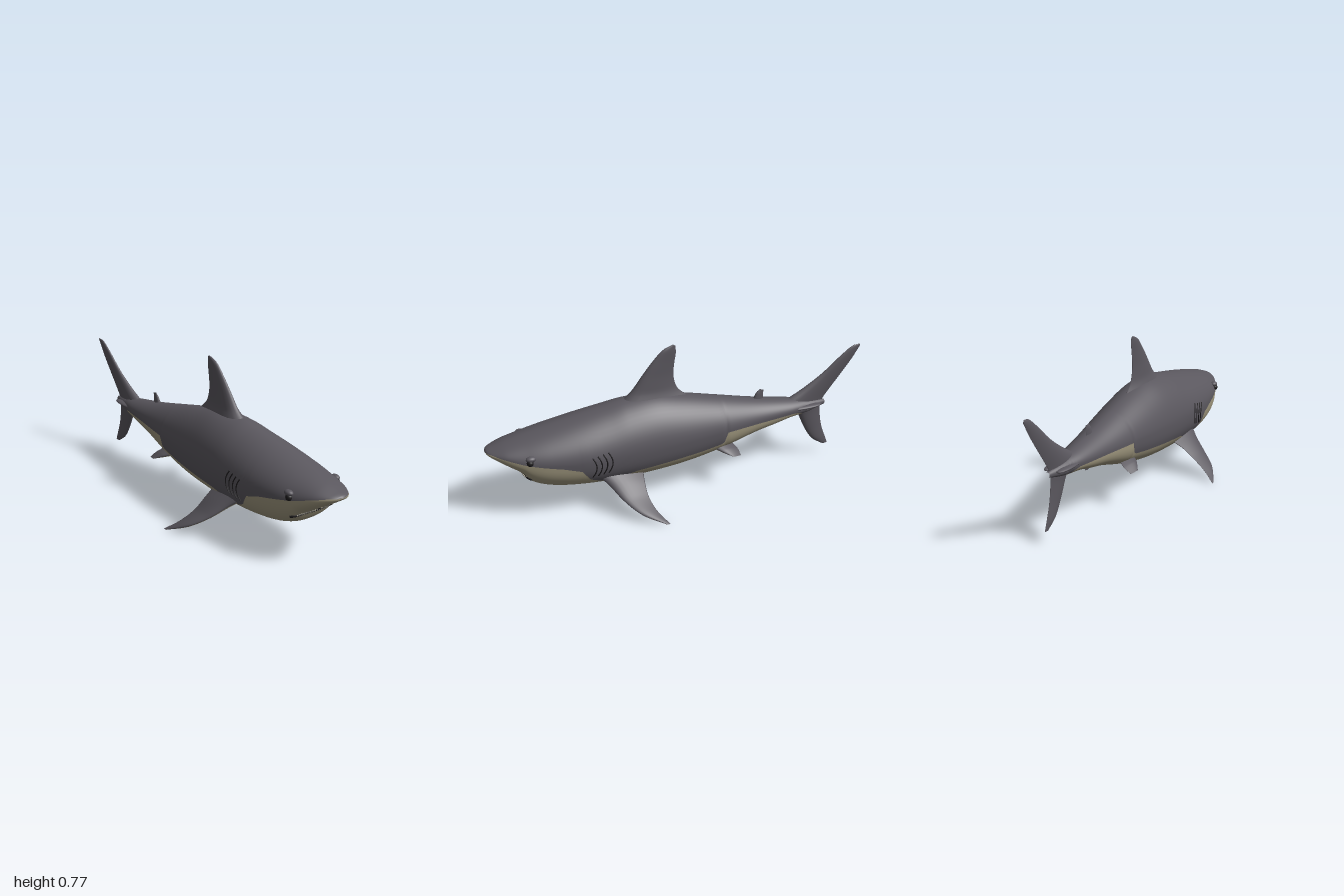
import * as THREE from 'three';

const mat = (name, color) => Object.assign(new THREE.MeshStandardMaterial({ color }), { name });
const V = (x, y, z) => new THREE.Vector3(x, y, z);

// Smooth curve through [x, value] pairs (x ascending)
function smooth(pts) {
  const slope = i => {
    const a = pts[Math.max(i - 1, 0)], b = pts[Math.min(i + 1, pts.length - 1)];
    return (b[1] - a[1]) / (b[0] - a[0]);
  };
  return x => {
    let i = 0;
    while (i < pts.length - 2 && x > pts[i + 1][0]) i++;
    const [x0, y0] = pts[i], [x1, y1] = pts[i + 1], h = x1 - x0;
    const t = THREE.MathUtils.clamp((x - x0) / h, 0, 1), t2 = t * t, t3 = t2 * t;
    return y0 * (2 * t3 - 3 * t2 + 1) + slope(i) * h * (t3 - 2 * t2 + t)
      + y1 * (3 * t2 - 2 * t3) + slope(i + 1) * h * (t3 - t2);
  };
}
function linear(pts) {
  return x => {
    let i = 0;
    while (i < pts.length - 2 && x > pts[i + 1][0]) i++;
    const [x0, y0] = pts[i], [x1, y1] = pts[i + 1];
    return THREE.MathUtils.lerp(y0, y1, THREE.MathUtils.clamp((x - x0) / (x1 - x0), 0, 1));
  };
}

// Body profile along its length
const topY = smooth([[-0.81, 0.335], [-0.7, 0.358], [-0.6, 0.375], [-0.4, 0.41], [-0.2, 0.455], [0, 0.5], [0.15, 0.525],
  [0.3, 0.52], [0.4, 0.503], [0.6, 0.465], [0.8, 0.422], [0.9, 0.397], [0.96, 0.378], [0.99, 0.367], [1, 0.358]]);
const bottomY = smooth([[-0.81, 0.31], [-0.7, 0.285], [-0.6, 0.277], [-0.5, 0.255], [-0.4, 0.235], [-0.2, 0.18], [0, 0.142],
  [0.2, 0.125], [0.4, 0.12], [0.6, 0.132], [0.7, 0.148], [0.77, 0.172], [0.81, 0.2], [0.835, 0.24], [0.88, 0.272],
  [0.95, 0.318], [0.99, 0.345], [1, 0.356]]);
const width = smooth([[-0.81, 0.01], [-0.75, 0.03], [-0.68, 0.048], [-0.6, 0.067], [-0.4, 0.1], [-0.2, 0.135], [0, 0.163],
  [0.2, 0.181], [0.4, 0.19], [0.55, 0.19], [0.7, 0.175], [0.8, 0.152], [0.9, 0.111], [0.96, 0.07], [0.99, 0.036], [1, 0.002]]);
const midY = smooth([[-0.81, 0.322], [-0.6, 0.325], [0, 0.305], [0.5, 0.295], [0.8, 0.312], [0.92, 0.342], [1, 0.357]]);
const bellyLine = linear([[-0.72, 0.27], [-0.66, 0.3], [-0.62, 0.312], [-0.21, 0.308], [-0.195, 0.245], [-0.1, 0.233],
  [0.1, 0.215], [0.28, 0.2], [0.38, 0.17], [0.46, 0.17], [0.52, 0.2], [0.56, 0.26], [0.65, 0.288], [0.82, 0.32],
  [0.9, 0.341], [0.97, 0.358], [1, 0.358]]);
const POW_TOP = 1.8, POW_LOW = 2.5;

// Half width of the body at a given length and height
function halfWidth(x, y) {
  const m = midY(x), up = y > m, p = up ? POW_TOP : POW_LOW;
  const f = up ? (y - m) / (topY(x) - m) : (m - y) / (m - bottomY(x));
  return f >= 1 ? 0 : width(x) * Math.pow(1 - Math.pow(f, p), 1 / p);
}

// One colour zone of the skin: above or below the belly line
function skin(isBack) {
  const rows = 150, cols = 36, pos = [], idx = [];
  for (let i = 0; i <= rows; i++) {
    const x = -0.81 + 1.81 * Math.sin(i / rows * Math.PI / 2);
    const m = midY(x), hi = topY(x) - m, lo = m - bottomY(x);
    const y = THREE.MathUtils.clamp(bellyLine(x), m - lo, m + hi), up = y > m;
    const f = Math.min(1, up ? (y - m) / hi : (m - y) / lo);
    const split = (up ? 1 : -1) * Math.asin(Math.pow(f, (up ? POW_TOP : POW_LOW) / 2));
    for (let j = 0; j <= cols; j++) {
      const u = 2 * j / cols - 1;
      const a = THREE.MathUtils.lerp((isBack ? 1 : -1) * Math.PI / 2, split, Math.abs(u));
      const e = 2 / (a > 0 ? POW_TOP : POW_LOW), s = Math.pow(Math.abs(Math.sin(a)), e);
      pos.push(x, m + (a > 0 ? hi * s : -lo * s),
        Math.sign(u) * width(x) * Math.pow(Math.max(0, Math.cos(a)), e));
      if (i < rows && j < cols) {
        const A = i * (cols + 1) + j, B = A + cols + 1;
        if (isBack) idx.push(A, A + 1, B, B, A + 1, B + 1);
        else idx.push(A, B, A + 1, B, B + 1, A + 1);
      }
    }
  }
  return toGeometry(pos, idx);
}

function toGeometry(pos, idx) {
  const g = new THREE.BufferGeometry();
  g.setAttribute('position', new THREE.Float32BufferAttribute(pos, 3));
  g.setIndex(idx);
  g.computeVertexNormals();
  return g;
}

// Fin lofted from root to tip; the +normal side is group 0, the other group 1
function fin(lead, trail, thick, normal) {
  const rows = 24, half = 10, ring = half * 2, pos = [], sides = [[], []];
  const L = new THREE.CatmullRomCurve3(lead), T = new THREE.CatmullRomCurve3(trail);
  const th = linear(thick.map((t, i) => [i / (thick.length - 1), t]));
  for (let i = 0; i <= rows; i++) {
    const l = L.getPoint(i / rows), t = T.getPoint(i / rows);
    for (let j = 0; j < ring; j++) {
      const s = (1 - Math.cos(j / half * Math.PI)) / 2;
      const d = th(i / rows) * 2.6 * Math.sqrt(s) * (1 - s) * (j <= half ? 1 : -1);
      pos.push(...l.clone().lerp(t, s).addScaledVector(normal, d).toArray());
      if (i < rows) {
        const A = i * ring + j, B = i * ring + (j + 1) % ring;
        sides[j < half ? 0 : 1].push(A, B, A + ring, B, B + ring, A + ring);
      }
    }
  }
  // Turn the faces outward whichever way the fin was laid out
  const idx = [...sides[0], ...sides[1]], p = i => V().fromArray(pos, i * 3);
  let volume = 0;
  const o = p(0);
  for (let k = 0; k < idx.length; k += 3)
    volume += p(idx[k]).sub(o).dot(p(idx[k + 1]).sub(o).cross(p(idx[k + 2]).sub(o)));
  if (volume < 0) for (let k = 0; k < idx.length; k += 3) [idx[k], idx[k + 1]] = [idx[k + 1], idx[k]];
  const g = toGeometry(pos, idx);
  g.addGroup(0, sides[0].length, 0);
  g.addGroup(sides[0].length, sides[1].length, 1);
  return g;
}

export function createModel() {
  const group = new THREE.Group();
  const grey = mat('darkGreySkin', 0x5a575e), pale = mat('paleBelly', 0xa0987f);
  const black = mat('nearBlack', 0x1d1b1d), ivory = mat('toothIvory', 0xc9c3b0);
  const add = (name, geo, material) => {
    const m = new THREE.Mesh(geo, material);
    m.name = name;
    group.add(m);
    return m;
  };
  const flat = pts => pts.map(([x, y]) => V(x, y, 0));

  add('back', skin(true), grey);
  add('belly', skin(false), pale);

  // Upright fins on the centre line: leading edge, trailing edge, half thickness
  const upright = (name, lead, trail, thick) =>
    add(name, fin(flat(lead), flat(trail), thick, V(0, 0, 1)), [grey, grey]);
  upright('dorsalFin', [[0.33, 0.49], [0.26, 0.55], [0.2, 0.63], [0.14, 0.705], [0.09, 0.755], [0.035, 0.778]],
    [[-0.05, 0.48], [0.015, 0.54], [0.035, 0.61], [0.03, 0.68], [0.022, 0.735], [0.025, 0.772]],
    [0.055, 0.032, 0.021, 0.014, 0.01, 0.003]);
  upright('upperTailLobe', [[-0.58, 0.36], [-0.68, 0.415], [-0.79, 0.49], [-0.9, 0.585], [-0.96, 0.627], [-0.997, 0.632]],
    [[-0.78, 0.29], [-0.8, 0.34], [-0.835, 0.39], [-0.9, 0.475], [-0.955, 0.55], [-1, 0.622]],
    [0.03, 0.022, 0.014, 0.01, 0.008, 0.002]);
  upright('lowerTailLobe', [[-0.63, 0.325], [-0.665, 0.265], [-0.71, 0.17], [-0.755, 0.105], [-0.82, 0.06]],
    [[-0.79, 0.33], [-0.79, 0.27], [-0.805, 0.18], [-0.83, 0.11], [-0.848, 0.063]],
    [0.026, 0.018, 0.012, 0.009, 0.002]);
  upright('secondDorsalFin', [[-0.4, 0.4], [-0.415, 0.435], [-0.435, 0.456]],
    [[-0.455, 0.395], [-0.455, 0.425], [-0.458, 0.45]], [0.012, 0.008, 0.002]);
  upright('analFin', [[-0.4, 0.25], [-0.425, 0.235], [-0.445, 0.226]],
    [[-0.46, 0.26], [-0.468, 0.245], [-0.468, 0.23]], [0.012, 0.008, 0.002]);

  // Mirrored parts
  for (const s of [1, -1]) {
    const side = s > 0 ? 'left' : 'right';
    const at = pts => pts.map(([x, y, z]) => V(x, y, z * s));
    add(side + 'PectoralFin', fin(
      at([[0.48, 0.2, 0.14], [0.43, 0.155, 0.19], [0.38, 0.1, 0.26], [0.31, 0.05, 0.335], [0.2, 0.006, 0.392]]),
      at([[0.24, 0.18, 0.13], [0.25, 0.145, 0.19], [0.25, 0.095, 0.255], [0.225, 0.045, 0.33], [0.18, 0.004, 0.392]]),
      [0.026, 0.02, 0.012, 0.009, 0.002], V(0, 0.8, 0.6 * s)), [grey, pale]);
    add(side + 'PelvicFin', fin(
      at([[-0.14, 0.215, 0.09], [-0.18, 0.2, 0.13], [-0.235, 0.178, 0.165]]),
      at([[-0.25, 0.22, 0.07], [-0.275, 0.195, 0.11], [-0.28, 0.172, 0.15]]),
      [0.018, 0.012, 0.002], V(0, 0.85, 0.53 * s)), [grey, pale]);

    const keel = add(side + 'TailKeel', new THREE.SphereGeometry(1, 20, 12), grey);
    keel.scale.set(0.11, 0.011, 0.03);
    keel.position.set(-0.67, 0.328, 0.032 * s);

    // Eye with a brow fold above it
    const z = halfWidth(0.8, 0.335);
    const eye = add(side + 'Eye', new THREE.SphereGeometry(0.017, 18, 12), black);
    eye.position.set(0.805, 0.332, (z - 0.002) * s);
    const brow = add(side + 'Brow', new THREE.SphereGeometry(1, 18, 12), grey);
    brow.scale.set(0.025, 0.014, 0.018);
    brow.position.set(0.8, 0.352, (z - 0.004) * s);
    const nostril = add(side + 'Nostril', new THREE.SphereGeometry(0.006, 10, 8), black);
    nostril.position.set(0.885, 0.279, 0.036 * s);

    // Gill slits follow the flank
    for (let i = 0; i < 4; i++) {
      const pts = [0, 1, 2, 3, 4].map(k => {
        const y = 0.215 + 0.028 * k + 0.005 * i, x = 0.51 - 0.027 * i - 0.02 * Math.sin(k / 4 * Math.PI);
        return V(x, y, halfWidth(x, y) * s);
      });
      add(side + 'GillSlit' + (i + 1), new THREE.TubeGeometry(new THREE.CatmullRomCurve3(pts), 16, 0.0035, 5), black);
    }
  }

  // Mouth line wrapped round the underside of the snout
  const mouthPoint = z => {
    const y = 0.249 - 0.02 * (z / 0.13) ** 2;
    let a = 0.7, b = 0.9;
    for (let k = 0; k < 30; k++) {
      const m = (a + b) / 2;
      if (halfWidth(m, y) > Math.abs(z)) a = m; else b = m;
    }
    return V(a, y, z);
  };
  const mouth = [];
  for (let i = -12; i <= 12; i++) mouth.push(mouthPoint(i / 12 * 0.128));
  add('mouth', new THREE.TubeGeometry(new THREE.CatmullRomCurve3(mouth), 60, 0.0065, 8), black);
  for (let i = -11; i <= 11; i++) {
    const p = mouthPoint(i * 0.0095);
    const tooth = add('tooth', new THREE.ConeGeometry(0.0035, 0.013, 5), ivory);
    tooth.position.copy(p).add(V(0.005, -0.002, Math.sign(i) * 0.003));
    tooth.rotation.x = Math.PI;
  }
  return group;
}
